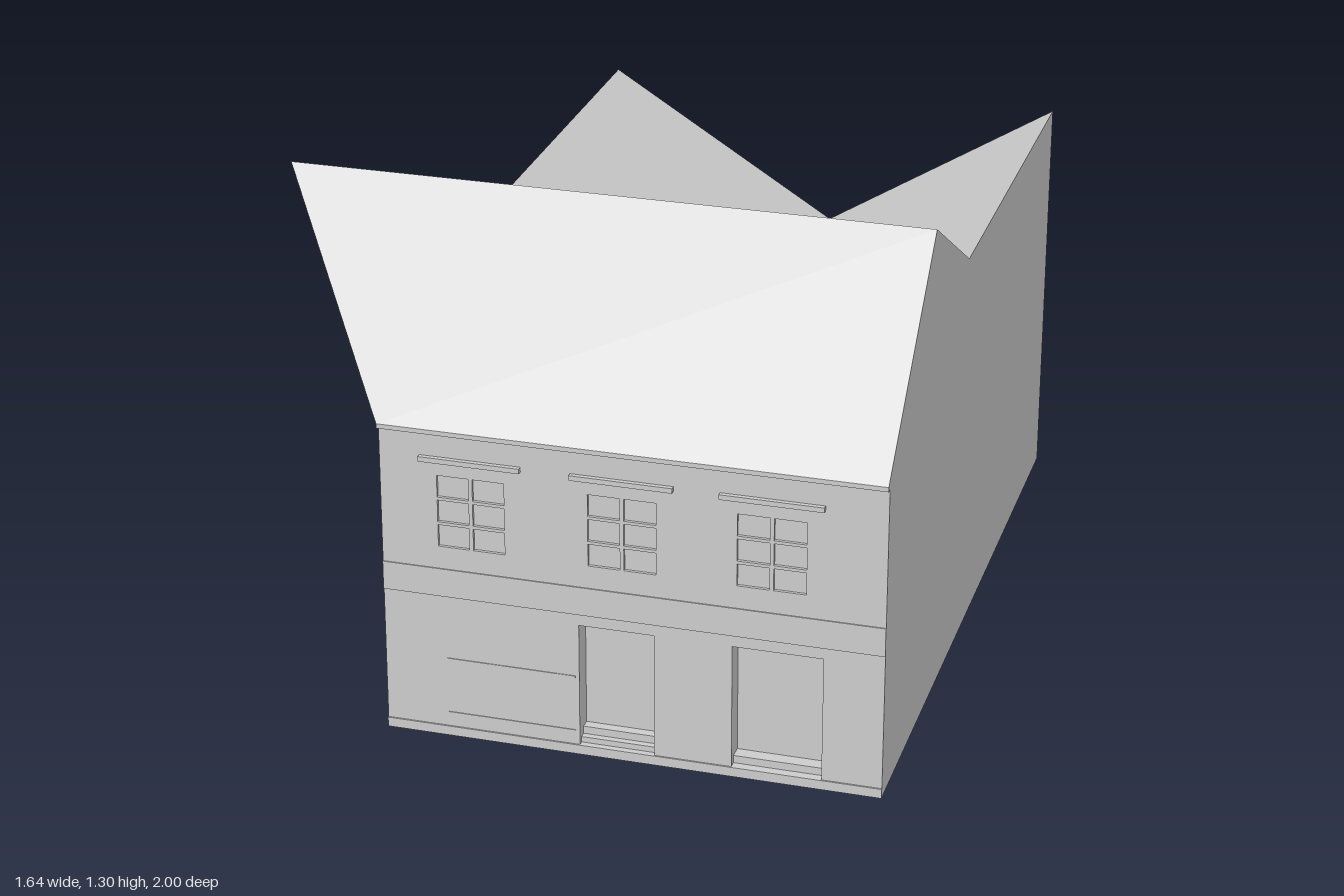
import * as THREE from 'three';

const stone = new THREE.MeshStandardMaterial({ color: 0xcccccc });
stone.name = 'pale grey';

// Main dimensions
const L = -0.44, R = 0.82, MID = 0.19;        // side walls and roof valley
const BACK = -1, CORE = 0.93, FRONT = 0.985;  // wall planes in z
const EAVE = 0.835, SIDE = 1.065, RIDGE = 1.3, VALLEY = 0.675;
const RIDGE_Z = 0.54, JOIN_Z = 0.13, VALLEY_Z = -0.55;

// Flat convex faces, each wound to face its outward direction
function faces(name, list) {
  const pos = [];
  for (const { out, pts } of list) {
    const v = pts.map((p) => new THREE.Vector3(...p));
    const n = v[1].clone().sub(v[0]).cross(v[2].clone().sub(v[0]));
    if (n.dot(new THREE.Vector3(...out)) < 0) v.reverse();
    for (let i = 1; i < v.length - 1; i++) {
      for (const p of [v[0], v[i], v[i + 1]]) pos.push(p.x, p.y, p.z);
    }
  }
  const geo = new THREE.BufferGeometry();
  geo.setAttribute('position', new THREE.Float32BufferAttribute(pos, 3));
  geo.computeVertexNormals();
  const mesh = new THREE.Mesh(geo, stone);
  mesh.name = name;
  return mesh;
}

// Box given by its limits on each axis
function box(name, x0, x1, y0, y1, z0, z1) {
  const mesh = new THREE.Mesh(new THREE.BoxGeometry(x1 - x0, y1 - y0, z1 - z0), stone);
  mesh.position.set((x0 + x1) / 2, (y0 + y1) / 2, (z0 + z1) / 2);
  mesh.name = name;
  return mesh;
}

// Slab of the front wall with rectangular openings [x0, x1, y0, y1]
function wallLayer(name, holes, z0, z1) {
  const rect = (shape, x0, x1, y0, y1) =>
    shape.moveTo(x0, y0).lineTo(x1, y0).lineTo(x1, y1).lineTo(x0, y1).closePath();
  const shape = rect(new THREE.Shape(), L, R, 0, EAVE - 0.01);
  for (const h of holes) shape.holes.push(rect(new THREE.Path(), ...h));
  const geo = new THREE.ExtrudeGeometry(shape, { depth: z1 - z0, bevelEnabled: false });
  const mesh = new THREE.Mesh(geo, stone);
  mesh.position.z = z0;
  mesh.name = name;
  return mesh;
}

export function createModel() {
  const house = new THREE.Group();
  house.name = 'terraceHouse';

  // Side walls, with the gable on the right-hand end
  const side = (x, s) => [
    { out: [s, 0, 0], pts: [[x, 0, BACK], [x, 0, CORE], [x, EAVE, CORE], [x, EAVE, BACK]] },
    { out: [s, 0, 0], pts: [[x, EAVE, BACK], [x, EAVE, JOIN_Z], [x, SIDE, JOIN_Z], [x, SIDE, BACK]] },
  ];
  house.add(faces('sideWalls', [
    ...side(L, -1), ...side(R, 1),
    { out: [1, 0, 0], pts: [[R, EAVE, JOIN_Z], [R, EAVE, 1], [R, RIDGE, RIDGE_Z], [R, SIDE, JOIN_Z]] },
  ]));

  // Back wall with a V-shaped top, inner front wall and floor
  house.add(faces('backWall', [L, R].map((x) => (
    { out: [0, 0, -1], pts: [[x, 0, BACK], [MID, 0, BACK], [MID, VALLEY, BACK], [x, SIDE, BACK]] }))));
  house.add(faces('recessWall', [
    { out: [0, 0, 1], pts: [[L, 0, CORE], [R, 0, CORE], [R, EAVE, CORE], [L, EAVE, CORE]] }]));
  house.add(faces('floor', [
    { out: [0, -1, 0], pts: [[L, 0, BACK], [R, 0, BACK], [R, 0, CORE], [L, 0, CORE]] }]));

  // Front pitched roof, running out to a point on one side
  const tip = [-0.82, RIDGE, RIDGE_Z];
  house.add(faces('frontRoof', [
    { out: [0, 1, 1], pts: [[L, EAVE, 1], [R, EAVE, 1], [R, RIDGE, RIDGE_Z], tip] },
    { out: [0, 1, -1], pts: [tip, [R, RIDGE, RIDGE_Z], [R, SIDE, JOIN_Z], [MID, VALLEY, VALLEY_Z]] },
  ]));
  house.add(faces('roofOverhang', [
    { out: [-1, -1, 0], pts: [[L, EAVE, JOIN_Z], [L, EAVE, 1], tip] },
    { out: [-1, 0, -1], pts: [[L, SIDE, JOIN_Z], [L, EAVE, JOIN_Z], tip] },
  ]));

  // Rear butterfly roof
  house.add(faces('rearRoof', [L, R].map((x) => (
    { out: [0, 1, 0], pts: [[x, SIDE, JOIN_Z], [MID, VALLEY, VALLEY_Z], [MID, VALLEY, BACK], [x, SIDE, BACK]] }))));

  // Front wall: deep doorways, shallow window panes in two columns and three rows
  const doors = [[0.06, 0.25, 0.025, 0.355], [0.445, 0.67, 0.025, 0.355]];
  const windowCentres = [-0.21, 0.17, 0.54];
  const panes = [];
  for (const c of windowCentres) {
    for (const x of [c - 0.085, c + 0.005]) {
      for (let row = 0; row < 3; row++) {
        const y = 0.52 + row * 0.066;
        panes.push([x, x + 0.08, y, y + 0.058]);
      }
    }
  }
  house.add(wallLayer('frontWall', doors, CORE, FRONT - 0.008));
  house.add(wallLayer('frontFacing', [...doors, ...panes], FRONT - 0.008, FRONT));

  // Door steps
  house.add(box('doorStep', 0.06, 0.25, 0.02, 0.04, CORE, 0.972));
  house.add(box('doorStep', 0.06, 0.25, 0.04, 0.06, CORE, 0.955));
  house.add(box('doorStep', 0.445, 0.67, 0.02, 0.045, CORE, 0.965));

  // Eaves, window heads, band and plinth
  house.add(box('eaves', L, R, EAVE - 0.012, EAVE, CORE, 1));
  for (const c of windowCentres) {
    house.add(box('windowHead', c - 0.128, c + 0.128, 0.747, 0.76, FRONT - 0.004, 0.997));
  }
  house.add(box('bandCourse', L, R, 0.385, 0.46, FRONT - 0.004, FRONT + 0.003));
  house.add(box('plinth', L, R, 0, 0.025, FRONT - 0.004, FRONT + 0.004));

  // Thin rails below the ground-floor shopfront
  for (const y of [0.06, 0.21]) {
    house.add(box('shopfrontRail', -0.28, 0.05, y, y + 0.005, FRONT - 0.004, FRONT + 0.002));
  }
  return house;
}
